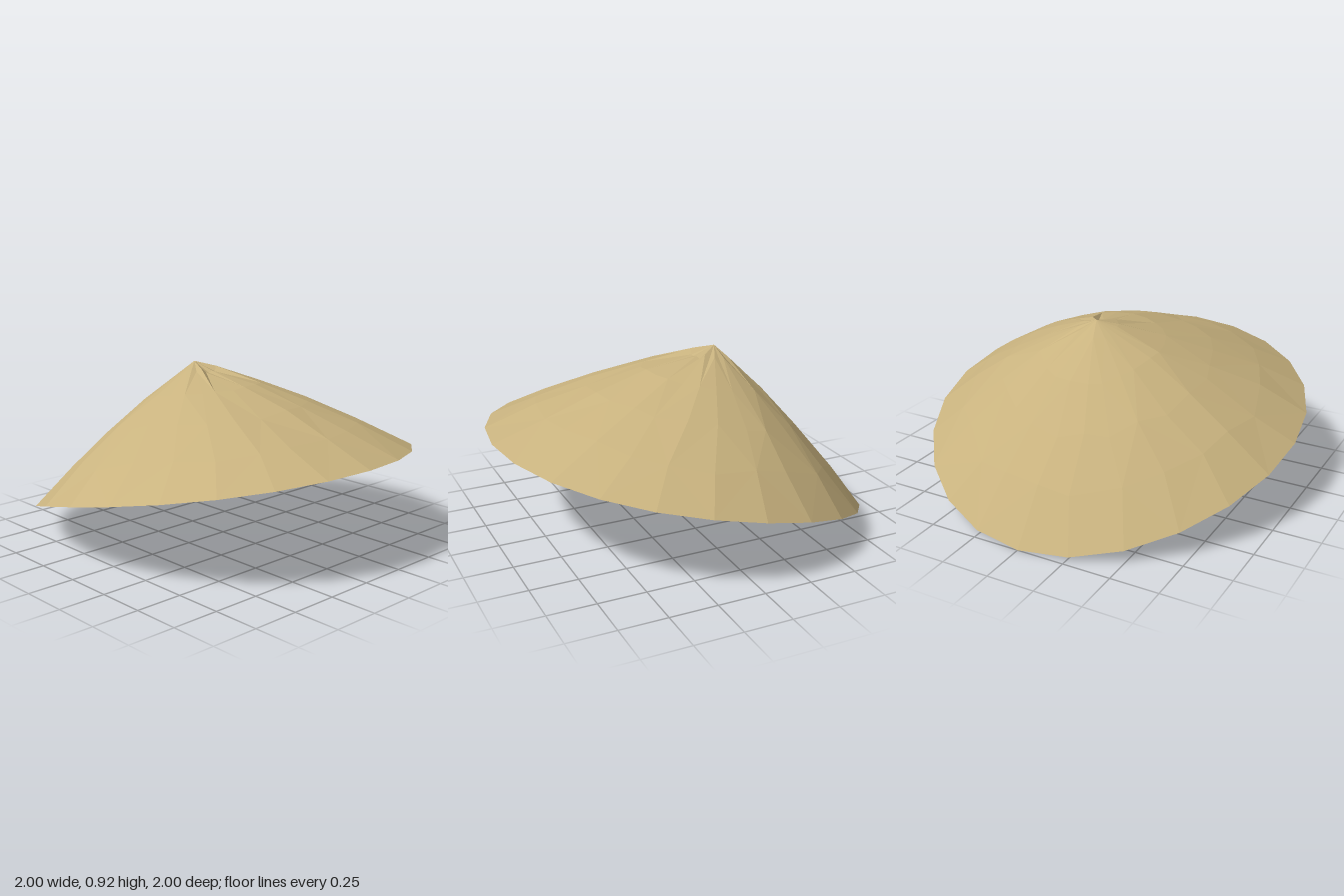
import * as THREE from 'three';

const SIDES = 24;
const RINGS = [0.1, 0.32, 0.55, 0.78, 1];
const APEX = new THREE.Vector3(0, 0.925, -0.225);

// Small repeatable noise in -1..1
function seeded(seed) {
  return () => {
    seed = (seed * 16807) % 2147483647;
    return (seed / 2147483647) * 2 - 1;
  };
}

// Height of the tilted, gently curved rim at depth z
const rimHeight = (z) => 0.375 + 0.28 * z - 0.0875 * z * z + 0.05 * (z ** 3 - z);

// Cone from an off-centre apex to the rim, bulging slightly between them
function hatGeometry() {
  const noise = seeded(77);
  const positions = [APEX.x, APEX.y, APEX.z];
  const index = [];
  RINGS.forEach((t, r) => {
    const isRim = t === 1;
    for (let i = 0; i < SIDES; i++) {
      const wobble = isRim ? 0 : noise() * 0.05;
      const a = (i / SIDES) * Math.PI * 2 + wobble;
      const x = Math.sin(a), z = Math.cos(a);
      const s = isRim ? 1 : t + noise() * 0.03 * t;
      const bulge = 4 * s * (1 - s) * (0.042 - 0.013 * z);
      // Little dent just in front of the peak
      const dent = r === 0 && (i < 3 || i === SIDES - 1) ? 0.02 : 0;
      positions.push(
        x * s,
        APEX.y + (rimHeight(z) - APEX.y) * s + bulge - dent + (isRim ? 0 : noise() * 0.006),
        APEX.z + (z - APEX.z) * s
      );
    }
  });
  const at = (r, i) => 1 + r * SIDES + (i % SIDES);
  for (let i = 0; i < SIDES; i++) {
    index.push(0, at(0, i), at(0, i + 1));
    for (let r = 0; r < RINGS.length - 1; r++) {
      const a = at(r, i), b = at(r, i + 1), c = at(r + 1, i), d = at(r + 1, i + 1);
      // Alternate the diagonals for irregular facets
      if ((i + r) % 2) index.push(a, c, d, a, d, b);
      else index.push(a, c, b, b, c, d);
    }
  }
  const geometry = new THREE.BufferGeometry();
  geometry.setAttribute('position', new THREE.Float32BufferAttribute(positions, 3));
  geometry.setIndex(index);
  geometry.computeVertexNormals();
  return geometry;
}

export function createModel() {
  const straw = new THREE.MeshStandardMaterial({ color: 0xc9b37f, flatShading: true, side: THREE.DoubleSide });
  straw.name = 'straw';

  const group = new THREE.Group();
  group.name = 'conicalHat';

  // Open shell, seen from above and from inside
  const shell = new THREE.Mesh(hatGeometry(), straw);
  shell.name = 'hatShell';
  group.add(shell);
  return group;
}
